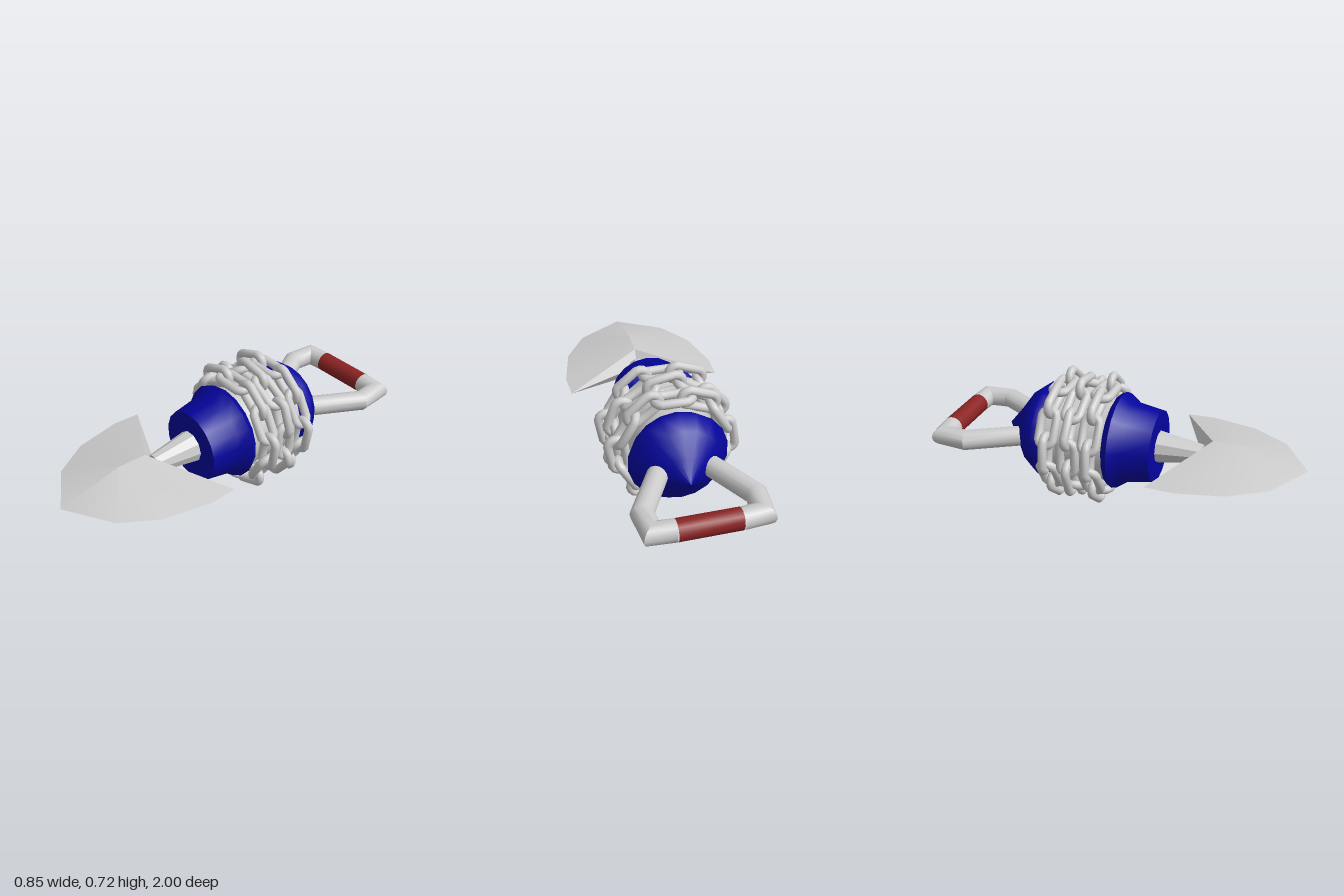
import * as THREE from 'three';
import { toCreasedNormals } from 'three/addons/utils/BufferGeometryUtils.js';

const AXIS = 0.365; // height of the long axis
const grey = new THREE.MeshStandardMaterial({ color: 0xcccccc });
const greyFlat = new THREE.MeshStandardMaterial({ color: 0xcccccc, flatShading: true });
const blue = new THREE.MeshStandardMaterial({ color: 0x04049c });
const red = new THREE.MeshStandardMaterial({ color: 0x8b2323 });

function add(parent, name, geometry, material) {
  const mesh = new THREE.Mesh(geometry, material);
  mesh.name = name;
  parent.add(mesh);
  return mesh;
}

function fromTriangles(points, crease) {
  const g = new THREE.BufferGeometry();
  g.setAttribute('position', new THREE.Float32BufferAttribute(points.flat(), 3));
  return toCreasedNormals(g, crease);
}

// Solid turned around the z axis from [radius, z] points, back to front
function turned(profile) {
  const points = profile.map(([r, z]) => new THREE.Vector2(r, z));
  return new THREE.LatheGeometry(points, 18).rotateX(Math.PI / 2);
}

// Round bar swept along [x, z] points in a level plane, with mitred corners
function mitredBar(path, radius, sides = 14) {
  const p = path.map(([x, z]) => new THREE.Vector2(x, z));
  const rings = p.map((c, i) => {
    const before = (i > 0 ? c.clone().sub(p[i - 1]) : p[1].clone().sub(c)).normalize();
    const after = (i < p.length - 1 ? p[i + 1].clone().sub(c) : c.clone().sub(p[i - 1])).normalize();
    const dir = before.clone().add(after).normalize();
    const reach = radius / dir.dot(before);
    return Array.from({ length: sides }, (_, j) => {
      const a = (j / sides) * Math.PI * 2;
      const out = Math.cos(a) * reach;
      return [c.x - dir.y * out, Math.sin(a) * radius, c.y + dir.x * out];
    });
  });
  const tris = [];
  for (let i = 0; i < rings.length - 1; i++) {
    for (let j = 0; j < sides; j++) {
      const k = (j + 1) % sides;
      const [a, b, c, d] = [rings[i][j], rings[i][k], rings[i + 1][k], rings[i + 1][j]];
      tris.push(a, c, b, a, d, c);
    }
  }
  return fromTriangles(tris, 0.5);
}

// Lens-shaped spade blade: level outline with a raised ridge on both faces
function bladeGeometry() {
  const notch = [0, 0, 0.445], wing = [0.418, 0, 0.26], side = [0.425, 0, 0.41];
  const lower = [0.37, 0, 0.66], shoulder = [0.25, 0, 0.85], tip = [0, 0, 1];
  const ridgeBack = [0, 0.084, 0.5], ridgeFront = [0, 0.087, 0.66];
  const quarter = [
    [notch, ridgeBack, wing], [wing, ridgeBack, side], [side, ridgeBack, ridgeFront],
    [side, ridgeFront, lower], [lower, ridgeFront, shoulder], [shoulder, ridgeFront, tip],
  ];
  const tris = [];
  for (const sx of [1, -1]) {
    for (const sy of [1, -1]) {
      for (const t of quarter) {
        const m = t.map(([x, y, z]) => [x * sx, y * sy, z]);
        tris.push(...(sx * sy > 0 ? m : m.reverse()));
      }
    }
  }
  return fromTriangles(tris, 0.3);
}

// Chain link: a small torus pulled apart along x
function linkGeometry() {
  const g = new THREE.TorusGeometry(0.042, 0.0235, 12, 14);
  const pos = g.attributes.position;
  for (let i = 0; i < pos.count; i++) {
    pos.setX(i, pos.getX(i) + Math.sign(pos.getX(i)) * 0.054);
  }
  return g;
}

export function createModel() {
  const model = new THREE.Group();
  const tool = new THREE.Group();
  tool.name = 'chainedSpade';
  tool.position.y = AXIS;
  model.add(tool);

  // Turned body: smooth pointed dome, plain drum under the chains, stepped front
  const dome = [[0, -0.66], [0.1, -0.58], [0.205, -0.505], [0.262, -0.43], [0.23, -0.37]];
  const drum = [[0.23, -0.37], [0.23, -0.04]];
  const collar = [[0.23, -0.04], [0.25, -0.03], [0.265, 0], [0.222, 0.06], [0.197, 0.21], [0, 0.21]];
  add(tool, 'backDome', turned(dome), blue);
  add(tool, 'drum', turned(drum), grey);
  add(tool, 'frontCollar', toCreasedNormals(turned(collar), 0.9), blue);

  // Handle: a bent arm on each side and the coloured grip between
  const arm = [[0.09, -0.46], [0.278, -0.8], [0.264, -0.935], [0.155, -0.943]];
  add(tool, 'leftHandleArm', mitredBar(arm, 0.055), grey);
  add(tool, 'rightHandleArm', mitredBar(arm.map(([x, z]) => [-x, z]), 0.055), grey);
  add(tool, 'grip', mitredBar([[0.155, -0.943], [-0.155, -0.943]], 0.055), red);

  // Tapered shaft and blade
  const shaft = new THREE.CylinderGeometry(0.05, 0.092, 0.27, 10);
  shaft.rotateY(Math.PI / 10).rotateX(Math.PI / 2).translate(0, 0, 0.315);
  add(tool, 'shaft', shaft, greyFlat);
  add(tool, 'blade', bladeGeometry(), grey);

  // Three chains of twelve links, alternately lying flat and standing on edge
  const link = linkGeometry();
  [-0.088, -0.205, -0.326].forEach((z, row) => {
    const chain = new THREE.Group();
    chain.name = 'chain' + (row + 1);
    chain.position.z = z;
    tool.add(chain);
    for (let i = 0; i < 12; i++) {
      const flat = (i + row) % 2 === 0;
      const spoke = new THREE.Group();
      spoke.name = 'linkSpoke';
      spoke.rotation.z = -(i / 12) * Math.PI * 2 - (flat ? 0 : 0.04);
      chain.add(spoke);
      const mesh = add(spoke, flat ? 'flatLink' : 'uprightLink', link, grey);
      mesh.position.y = flat ? 0.278 : 0.286;
      if (flat) mesh.rotation.x = Math.PI / 2;
      else mesh.rotation.z = -0.13;
    }
  });

  return model;
}
